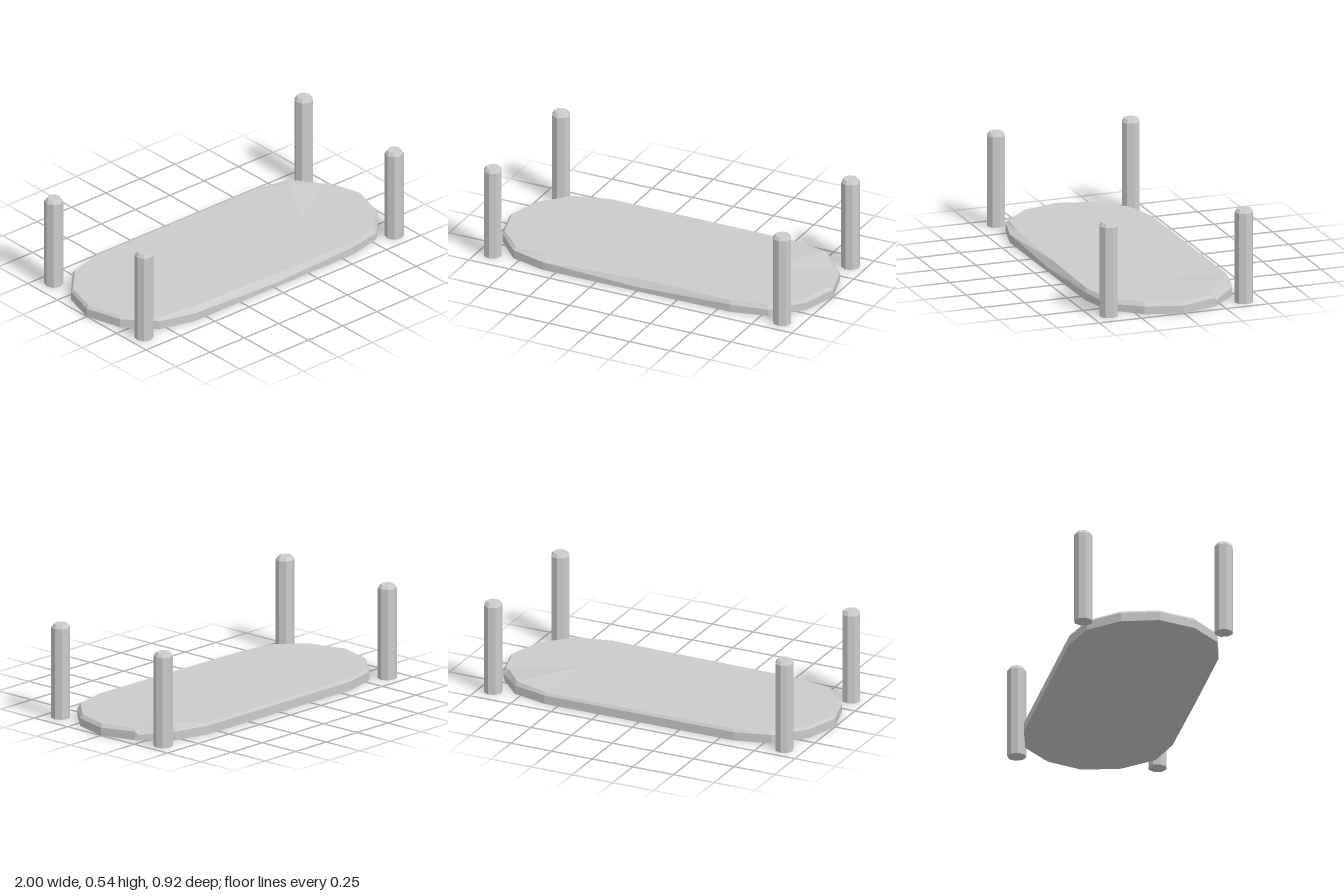
import * as THREE from 'three';

const material = new THREE.MeshStandardMaterial({ color: 0xcccccc, flatShading: true });

// Slab outline seen from above: x, z, height of the worn edge, x and z of the top rim
const RIM = [
  [0.58, 0.42, 0.045, 0.575, 0.408],
  [0.79, 0.37, 0.037, 0.78, 0.355],
  [0.94, 0.21, 0.045, 0.925, 0.205],
  [1.0, 0, 0.045, 0.985, 0],
  [0.94, -0.2, 0.05, 0.928, -0.2],
  [0.925, -0.22, 0.03, 0.905, -0.205], // small chip
  [0.79, -0.365, 0.05, 0.78, -0.355],
  [0.58, -0.42, 0.05, 0.575, -0.41],
  [-0.58, -0.42, 0.05, -0.575, -0.41],
  [-0.79, -0.365, 0.05, -0.78, -0.355],
  [-0.94, -0.205, 0.05, -0.93, -0.2],
  [-1.0, 0, 0.05, -0.987, 0],
  [-0.94, 0.21, 0.05, -0.928, 0.205],
  [-0.79, 0.37, 0.05, -0.78, 0.355],
  [-0.58, 0.425, 0.047, -0.56, 0.385],
  [0, 0.425, 0.025, 0, 0.397],
];
const LIFTED = 6; // rim corner beside the raised flake

function slabGeometry() {
  const bottom = RIM.map(([x, z]) => [x, 0, z]);
  const middle = RIM.map(([x, z, y]) => [x, y, z]);
  const top = RIM.map(([, , , x, z], i) => [x, i === LIFTED ? 0.073 : 0.065, z]);
  const flake = [0.735, 0.08, -0.31];
  const hub = [0.56, 0.065, 0];
  const positions = [];
  const tri = (...corners) => corners.forEach((c) => positions.push(...c));
  const quad = (a, b, c, d) => { tri(a, b, c); tri(a, c, d); };

  for (let i = 0; i < RIM.length; i++) {
    const j = (i + 1) % RIM.length;
    quad(bottom[i], bottom[j], middle[j], middle[i]);
    quad(middle[i], middle[j], top[j], top[i]);
    tri([0, 0, 0], bottom[j], bottom[i]);
    // Top surface fans out from the hub and rises to the flake
    tri(hub, i === LIFTED ? flake : top[i], j === LIFTED ? flake : top[j]);
    if (i === LIFTED) tri(flake, top[i], top[j]);
    if (j === LIFTED) tri(flake, top[i], top[j]);
  }
  const geometry = new THREE.BufferGeometry();
  geometry.setAttribute('position', new THREE.Float32BufferAttribute(positions, 3));
  geometry.computeVertexNormals();
  return geometry;
}

export function createModel() {
  const group = new THREE.Group();

  const slab = new THREE.Mesh(slabGeometry(), material);
  slab.name = 'slab';
  group.add(slab);

  // Eight-sided corner posts with chamfered tops
  const profile = [[0, 0], [0.053, 0], [0.053, 0.52], [0.039, 0.54], [0, 0.54]]
    .map(([r, y]) => new THREE.Vector2(r, y));
  const postGeometry = new THREE.LatheGeometry(profile, 8);
  const posts = [
    ['backRightPost', -0.89, -0.408, 0.03],
    ['backLeftPost', 0.912, -0.387, -0.1],
    ['frontRightPost', -0.912, 0.38, 0.08],
    ['frontLeftPost', 0.89, 0.403, 0.1],
  ];
  for (const [name, x, z, turn] of posts) {
    const post = new THREE.Mesh(postGeometry, material);
    post.name = name;
    post.position.set(x, 0, z);
    post.rotation.y = turn;
    group.add(post);
  }
  return group;
}
